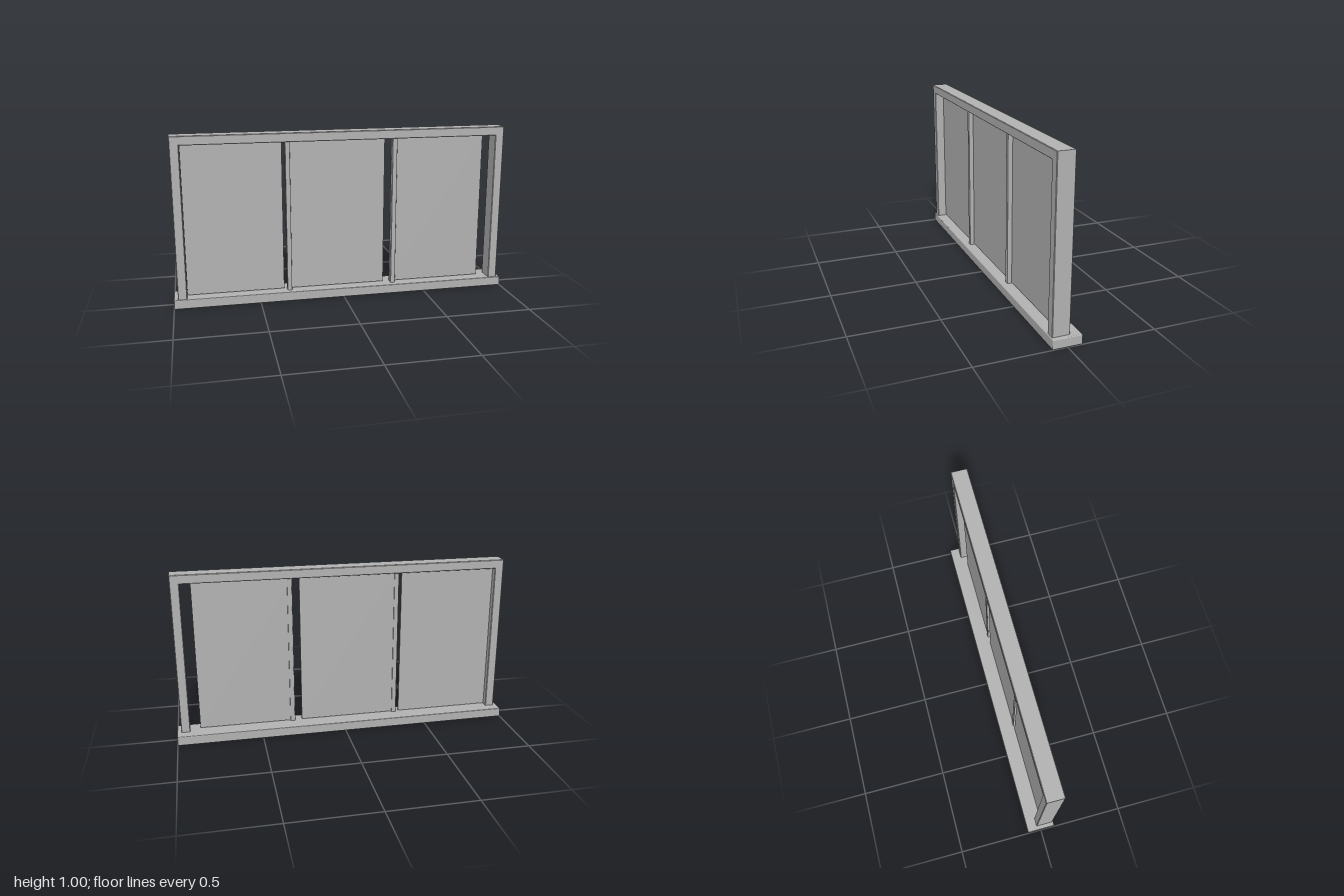
import * as THREE from 'three';
import { RoundedBoxGeometry } from 'three/addons/geometries/RoundedBoxGeometry.js';

const grey = new THREE.MeshStandardMaterial({ color: 0xb2b2b2 });
grey.name = 'grey';

// Box given by its minimum and maximum corners, with slightly eased edges if r > 0
function block(name, [x0, y0, z0], [x1, y1, z1], r = 0) {
  const size = [x1 - x0, y1 - y0, z1 - z0];
  const geometry = r > 0 ? new RoundedBoxGeometry(...size, 2, r) : new THREE.BoxGeometry(...size);
  const mesh = new THREE.Mesh(geometry, grey);
  mesh.name = name;
  mesh.position.set((x0 + x1) / 2, (y0 + y1) / 2, (z0 + z1) / 2);
  return mesh;
}

// Two jambs and the head as one bevelled, upside-down U
function outerFrame(zBack, zFront) {
  const b = 0.003, outer = 0.976 - b, inner = 0.924 + b, bottom = 0.05;
  const shape = new THREE.Shape([
    [-outer, bottom], [-inner, bottom], [-inner, 0.948 + b], [inner, 0.948 + b],
    [inner, bottom], [outer, bottom], [outer, 1 - b], [-outer, 1 - b],
  ].map(([x, y]) => new THREE.Vector2(x, y)));
  const geometry = new THREE.ExtrudeGeometry(shape, {
    depth: zFront - zBack - 2 * b, bevelSize: b, bevelThickness: b, bevelSegments: 1,
  });
  const mesh = new THREE.Mesh(geometry, grey);
  mesh.name = 'outerFrame';
  mesh.position.z = zBack + b;
  return mesh;
}

export function createModel() {
  const model = new THREE.Group();
  model.name = 'window';

  // Sill and frame
  model.add(block('sill', [-1, 0, -0.083], [1, 0.055, 0.083], 0.005));
  model.add(outerFrame(-0.023, 0.076));

  // Mullions between the bays
  for (const x of [-0.337, 0.298]) {
    model.add(block('mullion', [x, 0.054, 0.006], [x + 0.027, 0.95, 0.047], 0.002));
  }

  // Three equal panels, each leaving a gap on its +x side
  for (let i = 0; i < 3; i++) {
    const x = -0.922 + i * 0.609;
    model.add(block('panel', [x, 0.06, 0.01], [x + 0.568, 0.946, 0.02]));
  }
  return model;
}
